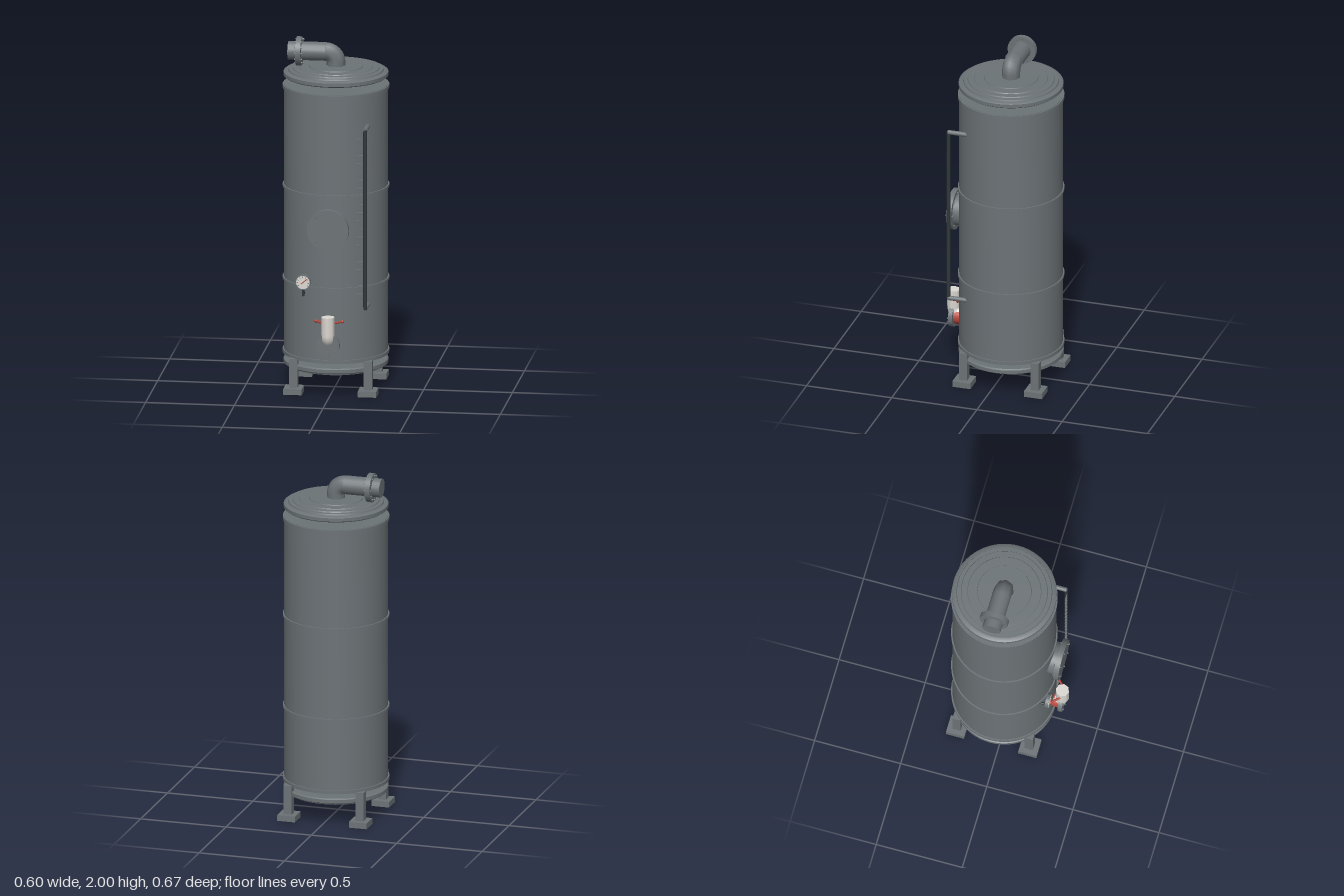
import * as THREE from 'three';
import { toCreasedNormals } from 'three/addons/utils/BufferGeometryUtils.js';

const mat = (name, color) => {
  const m = new THREE.MeshStandardMaterial({ color });
  m.name = name;
  return m;
};

export function createModel() {
  const steel = mat('grey steel', 0x6c7376);
  const dark = mat('dark steel', 0x30383a);
  const white = mat('off white', 0xdcd8d2);
  const red = mat('red paint', 0xb8483e);

  const model = new THREE.Group();
  model.name = 'storageTank';
  const axisZ = -0.04;

  const add = (name, geo, material, x = 0, y = 0, z = 0, parent = model) => {
    const m = new THREE.Mesh(geo, material);
    m.name = name;
    m.position.set(x, y, z);
    parent.add(m);
    return m;
  };
  const lathe = (pts, seg = 64) => toCreasedNormals(
    new THREE.LatheGeometry(pts.map(p => new THREE.Vector2(p[0], p[1])), seg), 0.5);
  // Closed cylinder lying between two points
  const rod = (name, a, b, r, material, seg = 16, parent = model) => {
    const A = new THREE.Vector3(...a), B = new THREE.Vector3(...b);
    const d = B.clone().sub(A);
    const m = add(name, new THREE.CylinderGeometry(r, r, d.length(), seg), material, 0, 0, 0, parent);
    m.position.copy(A).add(B).multiplyScalar(0.5);
    m.quaternion.setFromUnitVectors(new THREE.Vector3(0, 1, 0), d.normalize());
    return m;
  };
  // Disc facing +z with a ring of bolts, in its own group
  const flange = (name, r, depth, boltR, count, boltSize, bothSides) => {
    const g = new THREE.Group();
    g.name = name;
    rod('disc', [0, 0, -depth / 2], [0, 0, depth / 2], r, steel, 40, g);
    for (let i = 0; i < count; i++) {
      const a = (i / count) * Math.PI * 2;
      const x = Math.cos(a) * boltR, y = Math.sin(a) * boltR;
      rod('bolt', [x, y, bothSides ? -depth / 2 - 0.008 : 0], [x, y, depth / 2 + 0.007],
        boltSize, steel, 6, g);
    }
    model.add(g);
    return g;
  };

  // Shell with closed ends
  add('tankShell', lathe([[0, 0.2], [0.29, 0.2], [0.29, 1.74], [0, 1.74]]), steel, 0, 0, axisZ);

  // Raised hoops around the shell
  for (const y of [0.205, 0.625, 1.157, 1.728]) {
    const h = y === 0.205 || y === 1.728 ? 0.01 : 0.007;
    add('hoop', lathe([[0.288, -h], [0.298, -h], [0.298, h], [0.288, h]]), steel, 0, y, axisZ);
  }

  // Stepped end caps, the lower one turned over
  const capProfile = [[0, 0], [0.285, 0], [0.293, 0.006], [0.293, 0.026], [0.286, 0.031],
    [0.268, 0.034], [0.265, 0.042], [0.243, 0.043], [0.24, 0.049], [0.207, 0.05],
    [0.204, 0.054], [0.152, 0.055], [0.15, 0.06], [0, 0.06]];
  add('topCap', lathe(capProfile), steel, 0, 1.784, axisZ);
  add('bottomCap', lathe(capProfile), steel, 0, 0.165, axisZ).rotation.x = Math.PI;

  // Legs with foot plates
  for (const x of [-0.21, 0.21]) for (const z of [-0.252, 0.168]) {
    add('legPost', new THREE.BoxGeometry(0.047, 0.17, 0.047), steel, x, 0.115, z);
    add('footPlate', new THREE.BoxGeometry(0.104, 0.034, 0.106), steel, x, 0.017, z);
  }

  // Outlet pipe: riser, bend and horizontal run
  const bend = 0.055, pipeR = 0.053, runY = 1.92;
  rod('outletRiser', [0, 1.83, axisZ], [0, runY - bend, axisZ], pipeR, steel, 8);
  add('outletBend', new THREE.TorusGeometry(bend, pipeR, 8, 8, Math.PI / 2), steel,
    -bend, runY - bend, axisZ);
  rod('outletRun', [-bend, runY, axisZ], [-0.268, runY, axisZ], pipeR, steel, 16);
  const outletFlange = flange('outletFlange', 0.082, 0.03, 0.069, 12, 0.005, true);
  outletFlange.position.set(-0.206, runY - 0.002, axisZ);
  outletFlange.rotation.y = -Math.PI / 2;

  // Manhole
  rod('manholeNeck', [0, 0.975, 0.2], [0, 0.975, 0.28], 0.092, steel, 40);
  flange('manholeCover', 0.117, 0.03, 0.1, 8, 0.005, true).position.set(0, 0.975, 0.29);

  // Dial gauge
  const gx = -0.145, gy = 0.662;
  rod('gaugeCase', [gx, gy, 0.246], [gx, gy, 0.266], 0.043, steel, 32);
  rod('gaugeFace', [gx, gy, 0.264], [gx, gy, 0.268], 0.038, white, 32);
  for (let i = 0; i < 9; i++) {
    const a = -0.6 + (i / 8) * 4.34;
    add('gaugeMark', new THREE.BoxGeometry(0.007, 0.002, 0.002), dark,
      gx + Math.cos(a) * 0.031, gy + Math.sin(a) * 0.031, 0.2685).rotation.z = a;
  }
  add('gaugeNeedle', new THREE.BoxGeometry(0.045, 0.005, 0.003), red, gx + 0.007, gy + 0.006, 0.27)
    .rotation.z = 0.7;
  rod('gaugeStem', [gx, 0.582, 0.256], [gx, 0.625, 0.256], 0.007, dark, 12);
  rod('gaugeTap', [gx, 0.59, 0.2], [gx, 0.59, 0.26], 0.007, dark, 12);

  // Level indicator with end pipes and scale marks
  const lx = 0.205;
  rod('levelTube', [lx, 0.515, 0.261], [lx, 1.55, 0.261], 0.0105, dark, 16);
  for (const y of [0.52, 1.548]) rod('levelPipe', [lx, y, 0.15], [lx, y, 0.264], 0.013, steel, 16);
  for (let i = 0; i < 21; i++) {
    add('scaleMark', new THREE.BoxGeometry(0.038, 0.003, 0.005), steel, 0.176, 0.56 + i * 0.047, 0.268);
  }

  // Drain valve: red neck, bolted flange, upturned white spout
  rod('valveNeck', [0, 0.315, 0.21], [0, 0.315, 0.29], 0.047, red, 24);
  flange('valveFlange', 0.066, 0.024, 0.054, 8, 0.005, false).position.set(0, 0.315, 0.298);
  const spoutR = 0.038, sz = 0.297;
  rod('spout', [0, 0.37, sz], [0, 0.475, sz], spoutR, white, 8);
  const spoutBend = add('spoutBend', new THREE.TorusGeometry(0.04, spoutR, 8, 8, Math.PI / 2),
    white, 0, 0.37, sz - 0.04);
  spoutBend.rotation.set(Math.PI, Math.PI / 2, 0);
  for (const s of [-1, 1]) {
    rod('valveHandle', [s * 0.028, 0.44, 0.3], [s * 0.075, 0.44, 0.25], 0.006, red, 10);
    add('handleKnob', new THREE.SphereGeometry(0.009, 12, 8), red, s * 0.075, 0.44, 0.25);
  }
  return model;
}
